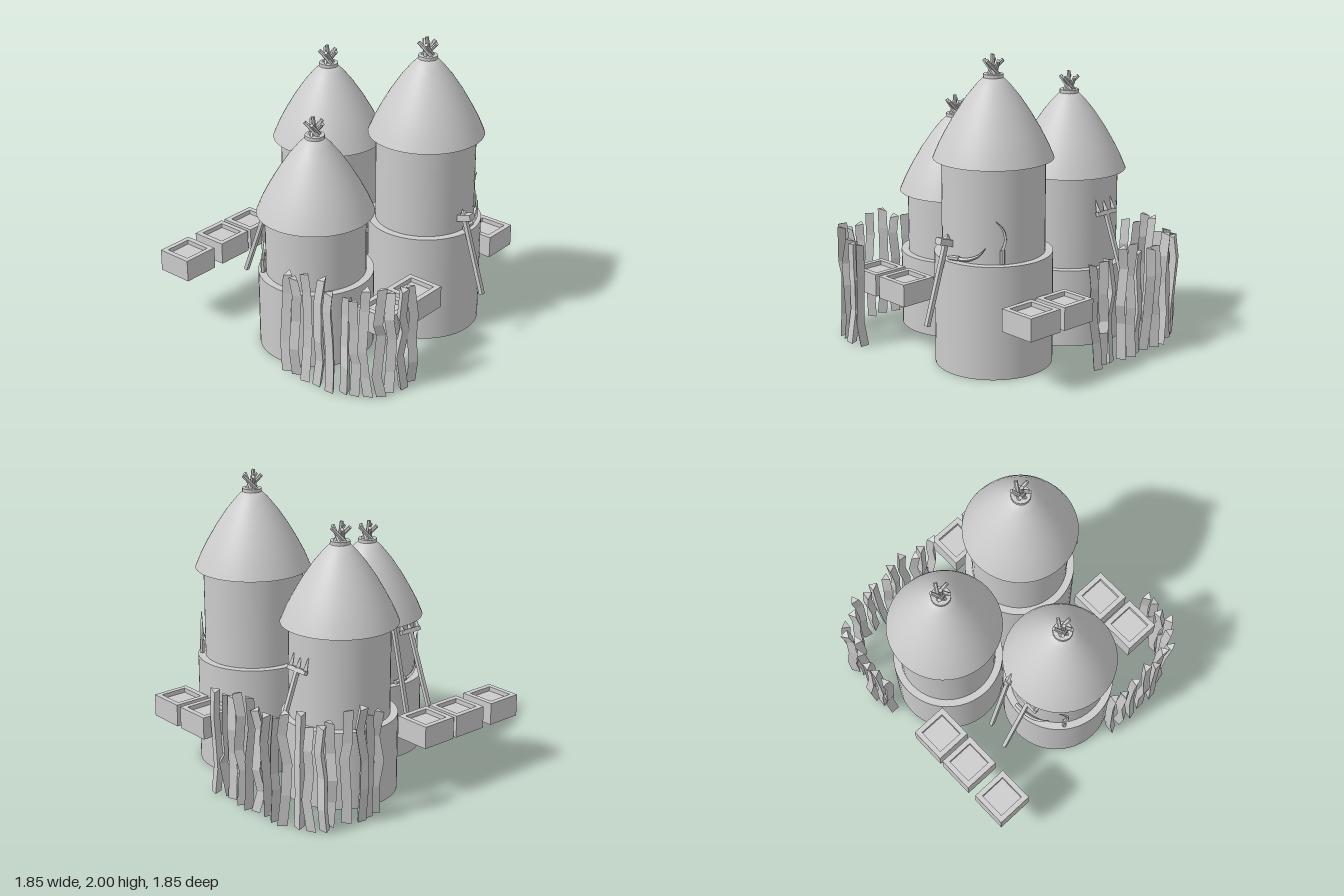
import * as THREE from 'three';

const smooth = new THREE.MeshStandardMaterial({ color: 0xcccccc, side: THREE.DoubleSide });
const flat = new THREE.MeshStandardMaterial({ color: 0xcccccc, side: THREE.DoubleSide, flatShading: true });
const V = (x, y, z) => new THREE.Vector3(x, y, z);

function add(parent, name, geometry, material = flat, x = 0, y = 0, z = 0) {
  const m = new THREE.Mesh(geometry, material);
  m.name = name;
  m.position.set(x, y, z);
  parent.add(m);
  return m;
}

// straight stick between two points
function stick(parent, name, a, b, r, sides = 6) {
  const d = b.clone().sub(a);
  const m = add(parent, name, new THREE.CylinderGeometry(r, r, d.length(), sides));
  m.position.copy(a).addScaledVector(d, 0.5);
  m.quaternion.setFromUnitVectors(V(0, 1, 0), d.normalize());
}

// round tower: wide base, narrower body, ogive roof with tied poles on top
function tower(name, x, z, baseTop, eave) {
  const g = new THREE.Group();
  g.name = name;
  g.position.set(x, 0, z);
  add(g, 'base', new THREE.CylinderGeometry(0.38, 0.38, baseTop, 48, 1, true), smooth, 0, baseTop / 2);
  const ledge = add(g, 'ledge', new THREE.RingGeometry(0.325, 0.38, 48), smooth, 0, baseTop);
  ledge.rotation.x = -Math.PI / 2;
  const h = eave + 0.1 - baseTop;
  add(g, 'body', new THREE.CylinderGeometry(0.33, 0.33, h, 48, 1, true), smooth, 0, baseTop + h / 2);
  const profile = [[0.383, 0], [0.345, 0.09], [0.298, 0.18], [0.24, 0.28], [0.17, 0.385], [0.105, 0.465], [0.055, 0.515], [0, 0.53]];
  add(g, 'roof', new THREE.LatheGeometry(profile.map(p => new THREE.Vector2(...p)), 48), smooth, 0, eave);
  add(g, 'collar', new THREE.CylinderGeometry(0.064, 0.064, 0.024, 16), flat, 0, eave + 0.517);
  for (let i = 0; i < 5; i++) {
    const a = i * Math.PI * 0.4, b = a + 2.4;
    stick(g, 'roofPole', V(0.045 * Math.cos(a), eave + 0.51, 0.045 * Math.sin(a)),
      V(0.062 * Math.cos(b), eave + 0.615, 0.062 * Math.sin(b)), 0.013);
  }
  stick(g, 'roofPole', V(0.01, eave + 0.51, 0), V(-0.005, eave + 0.65, 0.01), 0.013);
  return g;
}

// lean a tool (built along +y) against a tower; angle runs from +x toward +z
function lean(t, tool, angle, footR, topR, rise, side = 0) {
  tool.rotation.order = 'YXZ';
  tool.rotation.y = -angle;
  tool.rotation.z = Math.atan2(footR - topR, rise);
  const c = Math.cos(angle), s = Math.sin(angle);
  tool.position.set(footR * c - side * s, 0.34, footR * s + side * c);
  t.add(tool);
}

function fork() {
  const g = new THREE.Group();
  g.name = 'fork';
  add(g, 'shaft', new THREE.BoxGeometry(0.026, 0.6, 0.026), flat, 0, 0.3);
  add(g, 'crossbar', new THREE.BoxGeometry(0.026, 0.03, 0.17), flat, 0, 0.59);
  for (const z of [-0.07, 0, 0.07]) add(g, 'prong', new THREE.ConeGeometry(0.02, 0.1, 4), flat, 0, 0.65, z);
  return g;
}

function spear() {
  const g = new THREE.Group();
  g.name = 'spear';
  add(g, 'shaft', new THREE.BoxGeometry(0.026, 0.67, 0.026), flat, 0, 0.335);
  add(g, 'binding', new THREE.BoxGeometry(0.036, 0.04, 0.036), flat, 0, 0.65);
  const tip = add(g, 'tip', new THREE.ConeGeometry(0.03, 0.13, 4), flat, 0, 0.72);
  tip.scale.x = 0.6;
  return g;
}

function hammer() {
  const g = new THREE.Group();
  g.name = 'hammer';
  add(g, 'shaft', new THREE.BoxGeometry(0.028, 0.57, 0.028), flat, 0, 0.285);
  add(g, 'head', new THREE.BoxGeometry(0.12, 0.042, 0.055), flat, 0.005, 0.54);
  const wedge = add(g, 'wedge', new THREE.ConeGeometry(0.025, 0.035, 4), flat, 0, 0.578);
  wedge.rotation.y = Math.PI / 4;
  return g;
}

// sickles on a ledge, one upright and one lying, wrapped round the wall
function sickles(t, ledgeY, turn) {
  const at = ([a, y]) => V(0.352 * Math.cos(a + turn), ledgeY + y, 0.352 * Math.sin(a + turn));
  const blades = [
    [[-0.98, 0.01], [-0.98, 0.1], [[-0.98, 0.1], [-1.03, 0.16], [-0.99, 0.23], [-0.86, 0.285]]],
    [[0.08, 0.015], [-0.17, 0.025], [[-0.17, 0.02], [-0.36, 0.03], [-0.55, 0.06], [-0.68, 0.11]]],
  ];
  for (const [from, to, path] of blades) {
    const g = new THREE.Group();
    g.name = 'sickle';
    stick(g, 'handle', at(from), at(to), 0.016);
    const curve = new THREE.CatmullRomCurve3(path.map(at));
    const geo = new THREE.TubeGeometry(curve, 12, 0.013, 4);
    // taper the blade toward its point
    const p = geo.attributes.position, uv = geo.attributes.uv, v = V(0, 0, 0);
    for (let i = 0; i < p.count; i++) {
      const u = uv.getX(i), c = curve.getPointAt(u);
      v.fromBufferAttribute(p, i).sub(c).multiplyScalar(1 - 0.85 * u * u).add(c);
      p.setXYZ(i, v.x, v.y, v.z);
    }
    add(g, 'blade', geo);
    t.add(g);
  }
}

// open wooden box with a raised floor
function crate(parent, x, z) {
  const g = new THREE.Group();
  g.name = 'crate';
  g.position.set(x, 0.357, z);
  const square = s => [[-s, -s], [s, -s], [s, s], [-s, s]].map(p => new THREE.Vector2(...p));
  const shape = new THREE.Shape(square(0.127));
  shape.holes.push(new THREE.Path(square(0.092).reverse()));
  const frame = add(g, 'crateWalls', new THREE.ExtrudeGeometry(shape, { depth: 0.15, bevelEnabled: false }));
  frame.rotation.x = -Math.PI / 2;
  add(g, 'crateFloor', new THREE.BoxGeometry(0.184, 0.02, 0.184), flat, 0, 0.11);
  parent.add(g);
}

// crooked three-sided stake, bent level by level, with a slanted top
function stake(parent, x, z, i, rnd) {
  const h = i % 5 === 2 || i % 5 === 3 ? 0.77 : 0.705;
  const geo = new THREE.CylinderGeometry(0.035, 0.037, h, 3, 4);
  const p = geo.attributes.position;
  const bend = [0, 1, 2, 3, 4].map(k => [(rnd() - 0.5) * 0.04, (rnd() - 0.5) * 0.035, k % 4 ? (rnd() - 0.5) * 0.12 : 0]);
  for (let j = 0; j < p.count; j++) {
    const k = Math.round((p.getY(j) / h + 0.5) * 4);
    const [dx, dz, dy] = bend[k];
    const slant = k === 4 ? (p.getX(j) - 0.035) * 0.3 : 0;
    p.setXYZ(j, p.getX(j) + dx, p.getY(j) + dy + slant, p.getZ(j) + dz);
  }
  add(parent, 'stake', geo, flat, x, h / 2 + 0.005, z).rotation.y = rnd() * 6.28;
}

export function createModel() {
  const model = new THREE.Group();
  model.name = 'towerVillage';
  let seed = 7;
  const rnd = () => (seed = (seed * 16807) % 2147483647) / 2147483647;

  // three towers
  const left = tower('rearRightTower', -0.387, -0.2, 0.525, 1.14);
  const tall = tower('rearLeftTower', 0.38, -0.29, 0.742, 1.35);
  const front = tower('frontTower', 0.055, 0.44, 0.525, 0.945);
  model.add(left, tall, front);

  // leaning tools and sickles
  lean(left, fork(), -Math.PI / 2, 0.56, 0.35, 0.56);
  lean(front, fork(), Math.PI, 0.575, 0.355, 0.56, -0.07);
  lean(front, spear(), Math.PI, 0.53, 0.355, 0.72, 0.105);
  lean(tall, hammer(), 0, 0.525, 0.355, 0.54, 0.045);
  sickles(tall, 0.742, 0);
  sickles(front, 0.525, 3.2);

  // crates
  for (const [x, z] of [[-0.8, 0.18], [-0.8, 0.46], [-0.8, 0.785], [0.69, 0.215], [0.69, 0.505], [0.245, -0.795], [0.535, -0.795]])
    crate(model, x, z);

  // two curved fences
  const fences = {
    frontFence: [[0.175, 0.855], [0.265, 0.875], [0.36, 0.87], [0.47, 0.87], [0.56, 0.88], [0.65, 0.835], [0.72, 0.83],
      [0.765, 0.785], [0.82, 0.725], [0.845, 0.645], [0.87, 0.56], [0.875, 0.47]],
    rearFence: [[-0.86, -0.31], [-0.865, -0.385], [-0.885, -0.46], [-0.855, -0.555], [-0.82, -0.64], [-0.83, -0.72],
      [-0.785, -0.79], [-0.705, -0.81], [-0.62, -0.855], [-0.535, -0.865], [-0.445, -0.87], [-0.365, -0.85],
      [-0.29, -0.87], [-0.205, -0.87], [-0.12, -0.85], [-0.035, -0.865], [0.055, -0.87]],
  };
  for (const [name, spots] of Object.entries(fences)) {
    const g = new THREE.Group();
    g.name = name;
    spots.forEach(([x, z], i) => stake(g, x, z, i, rnd));
    model.add(g);
  }
  return model;
}
